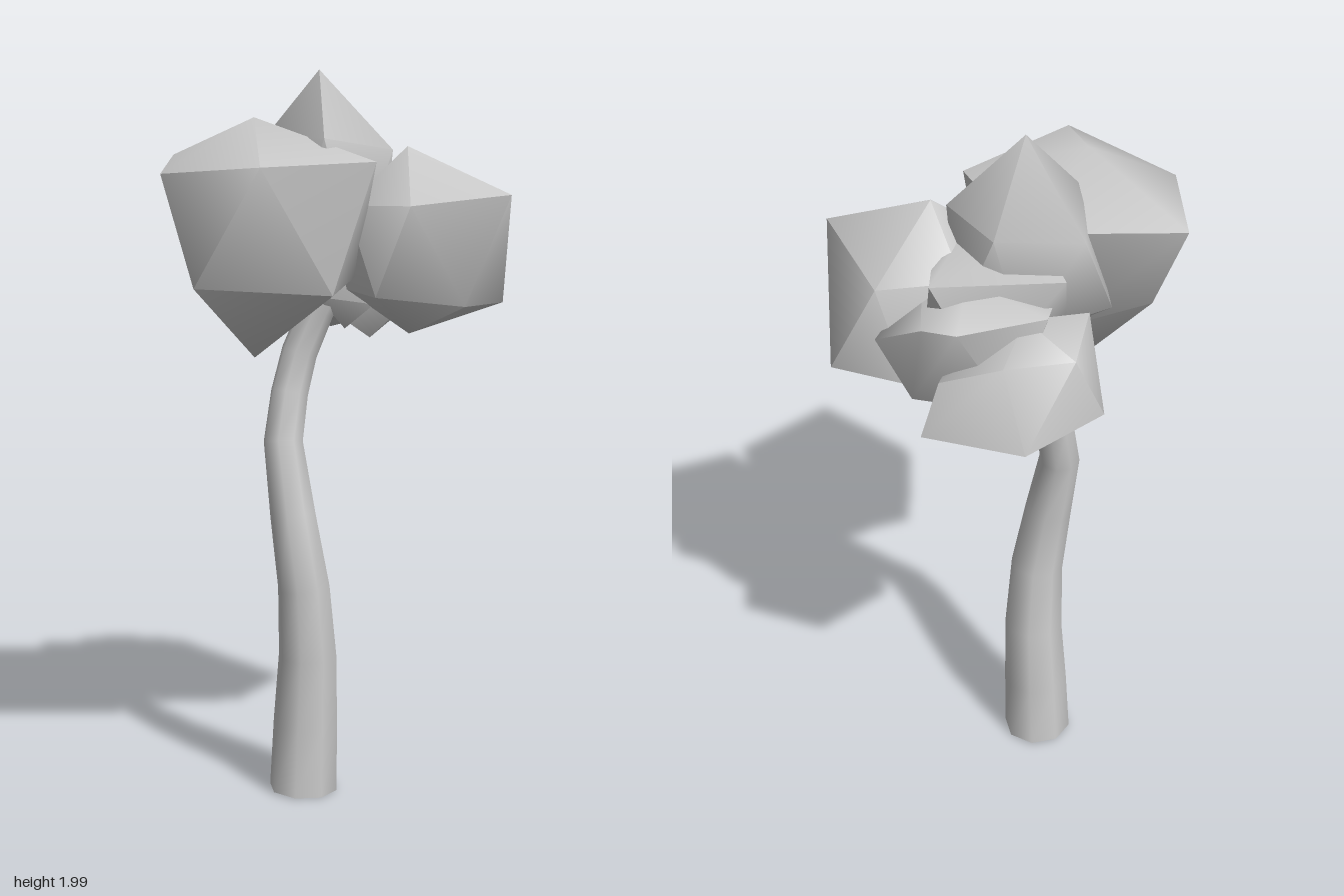
import * as THREE from 'three';
import { ConvexGeometry } from 'three/addons/geometries/ConvexGeometry.js';
import { mergeVertices, toCreasedNormals } from 'three/addons/utils/BufferGeometryUtils.js';

const material = new THREE.MeshStandardMaterial({ color: 0xcccccc });

// Leaf clumps: lumpy twelve-cornered blobs, each given by its corners
const clumps = {
  frontLeafClump: [
    [-0.19, 1.88, 0.15], [-0.47, 1.77, -0.05], [-0.40, 1.74, 0.30], [-0.09, 1.77, 0.475],
    [0.14, 1.77, 0.17], [-0.06, 1.77, -0.13], [-0.38, 1.51, 0.03], [-0.28, 1.46, 0.42],
    [0.06, 1.44, 0.33], [0.06, 1.46, 0.06], [-0.16, 1.48, -0.08], [-0.19, 1.25, 0.16],
  ],
  topLeafClump: [
    [-0.06, 2.0, -0.045], [-0.23, 1.78, -0.165], [-0.01, 1.79, -0.215], [0.14, 1.79, -0.05],
    [0.01, 1.83, 0.205], [-0.19, 1.82, 0.05], [-0.29, 1.56, -0.09], [-0.08, 1.52, -0.2],
    [0.1, 1.5, -0.12], [0.07, 1.5, 0.1], [-0.12, 1.5, 0.12], [-0.06, 1.4, -0.03],
  ],
  rightLeafClump: [
    [0.18, 1.80, -0.05], [0.47, 1.68, 0.02], [0.235, 1.66, 0.20], [0.04, 1.65, 0.08],
    [0.07, 1.66, -0.2], [0.28, 1.65, -0.26], [0.42, 1.37, -0.20], [0.36, 1.39, 0.08],
    [0.14, 1.42, 0.18], [0.02, 1.42, 0.0], [0.2, 1.38, -0.26], [0.19, 1.30, -0.03],
  ],
  lowerBackLeafClump: [
    [-0.1, 1.62, -0.28], [-0.24, 1.57, -0.37], [-0.07, 1.56, -0.42], [0.1, 1.47, -0.37],
    [-0.24, 1.57, -0.14], [0.06, 1.52, -0.2], [-0.135, 1.35, -0.475], [-0.30, 1.35, -0.26],
    [0.14, 1.33, -0.41], [0.06, 1.34, -0.18], [-0.2, 1.36, -0.13], [-0.08, 1.28, -0.27],
  ],
  middleBackLeafClump: [
    [0.05, 1.69, -0.24], [-0.16, 1.64, -0.30], [0.05, 1.62, -0.385], [0.14, 1.62, -0.375],
    [0.28, 1.52, -0.28], [0.2, 1.6, -0.08], [-0.15, 1.58, -0.08], [0.18, 1.38, -0.32],
    [0.2, 1.40, -0.08], [-0.08, 1.38, -0.34], [-0.1, 1.40, -0.05], [0.06, 1.27, -0.14],
  ],
  innerLeafClump: [
    [-0.19, 1.69, -0.205], [0.13, 1.71, -0.32], [0.145, 1.70, -0.22], [0.1, 1.71, -0.04],
    [-0.1, 1.7, -0.02], [0.17, 1.5, -0.2], [0.0, 1.45, -0.3], [-0.18, 1.5, -0.12],
    [-0.05, 1.4, 0.03], [0.1, 1.38, 0.0], [0.0, 1.3, -0.09],
  ],
};

function leafClump(corners) {
  const hull = new ConvexGeometry(corners.map((c) => new THREE.Vector3(...c)));
  hull.deleteAttribute('normal');
  return toCreasedNormals(mergeVertices(hull, 1e-4), 1.05);
}

// Trunk: a capped cylinder whose rows follow a swaying, tapering path
function trunkGeometry() {
  // centre x, y, z and radius
  const rows = [
    [-0.095, 0.01, 0.02, 0.096], [-0.088, 0.2, 0.022, 0.091], [-0.08, 0.4, 0.025, 0.082],
    [-0.085, 0.6, 0.048, 0.073], [-0.115, 0.8, 0.048, 0.064], [-0.148, 1.0, 0.02, 0.055],
    [-0.138, 1.13, -0.015, 0.052], [-0.115, 1.24, -0.037, 0.05], [-0.065, 1.36, -0.04, 0.048],
    [0, 1.48, -0.04, 0.045],
  ];
  const path = new THREE.CatmullRomCurve3(rows.map(([x, y, z]) => new THREE.Vector3(x, y, z)));
  const last = rows.length - 1;
  const geometry = new THREE.CylinderGeometry(1, 1, last, 8, last);
  const p = geometry.attributes.position;
  const up = new THREE.Vector3(0, 1, 0);
  for (let i = 0; i < p.count; i++) {
    const row = Math.round(p.getY(i) + last / 2);
    const [x, y, z, radius] = rows[row];
    const tilt = new THREE.Quaternion().setFromUnitVectors(up, path.getTangent(row / last));
    const v = new THREE.Vector3(p.getX(i), 0, p.getZ(i)).multiplyScalar(radius);
    v.applyQuaternion(tilt).add(new THREE.Vector3(x, y, z));
    p.setXYZ(i, v.x, Math.max(v.y, 0), v.z);
  }
  geometry.deleteAttribute('normal');
  geometry.deleteAttribute('uv');
  return toCreasedNormals(mergeVertices(geometry, 1e-4), 1.0);
}

export function createModel() {
  const tree = new THREE.Group();
  tree.name = 'tree';
  const add = (name, geometry) => {
    const mesh = new THREE.Mesh(geometry, material);
    mesh.name = name;
    tree.add(mesh);
  };
  add('trunk', trunkGeometry());
  for (const [name, corners] of Object.entries(clumps)) add(name, leafClump(corners));
  return tree;
}
